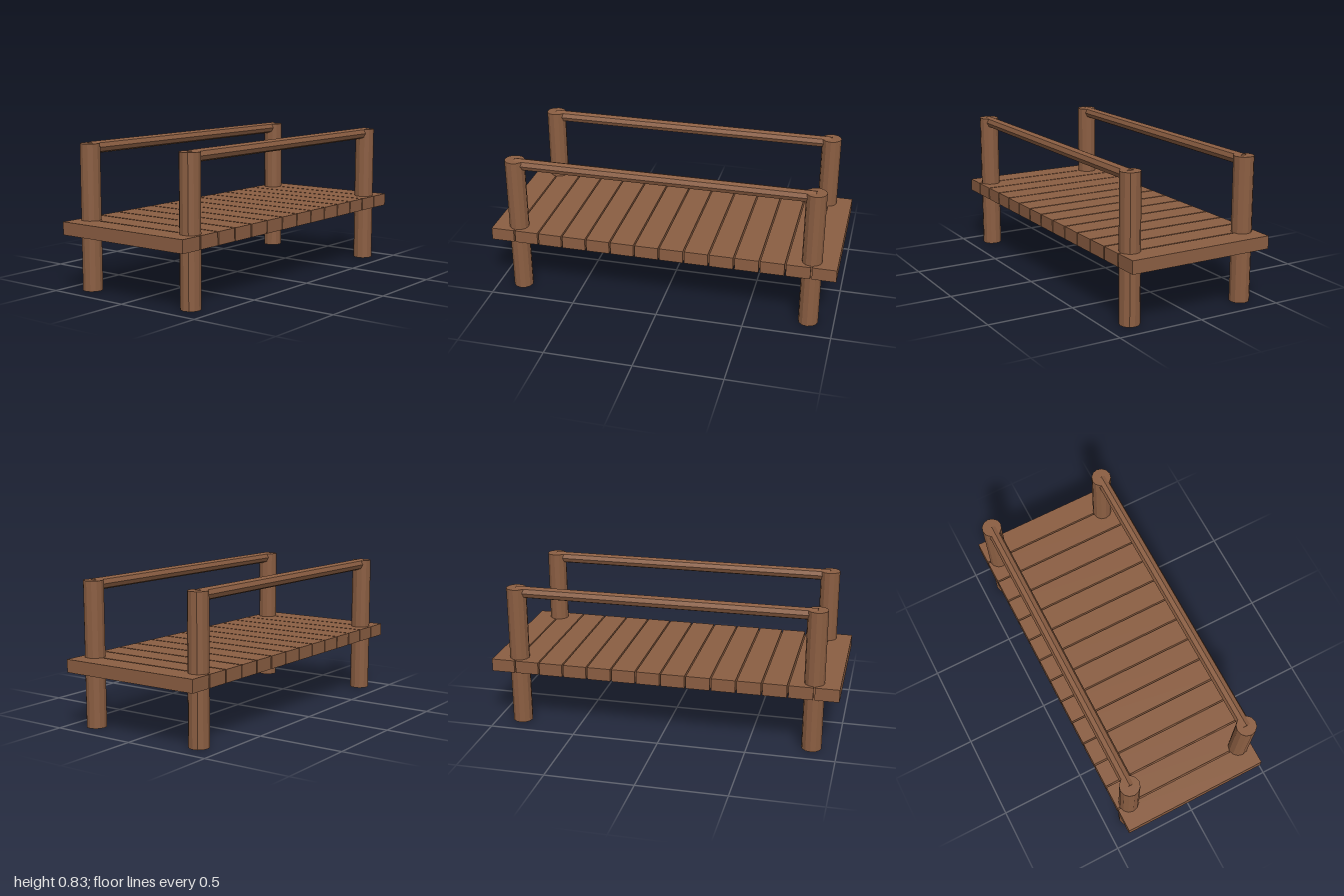
import * as THREE from 'three';

const PLANKS = 14, PLANK_W = 0.135, POST_X = 0.855, POST_Z = 0.356;

export function createModel() {
  const group = new THREE.Group();
  group.name = 'footbridge';
  const wood = new THREE.MeshStandardMaterial({ color: 0x8b5e42, flatShading: true });
  wood.name = 'brown wood';

  const add = (name, geometry, x, y, z) => {
    const mesh = new THREE.Mesh(geometry, wood);
    mesh.name = name;
    mesh.position.set(x, y, z);
    group.add(mesh);
  };

  // deck planks, laid across with narrow gaps
  const plank = new THREE.BoxGeometry(PLANK_W, 0.073, 0.858);
  const pitch = (2 - PLANK_W) / (PLANKS - 1);
  for (let i = 0; i < PLANKS; i++) {
    add('plank', plank, (i - (PLANKS - 1) / 2) * pitch, 0.359, 0);
  }

  // twelve-sided posts and an octagonal handrail on each side
  const post = new THREE.CylinderGeometry(0.057, 0.057, 0.819, 12);
  const rail = new THREE.CylinderGeometry(0.034, 0.034, POST_X * 2, 8);
  rail.rotateZ(Math.PI / 2);
  for (const side of [-1, 1]) {
    for (const end of [-1, 1]) add('post', post, end * POST_X, 0.4095, side * POST_Z);
    add('handrail', rail, 0, 0.794, side * POST_Z);
  }
  return group;
}
